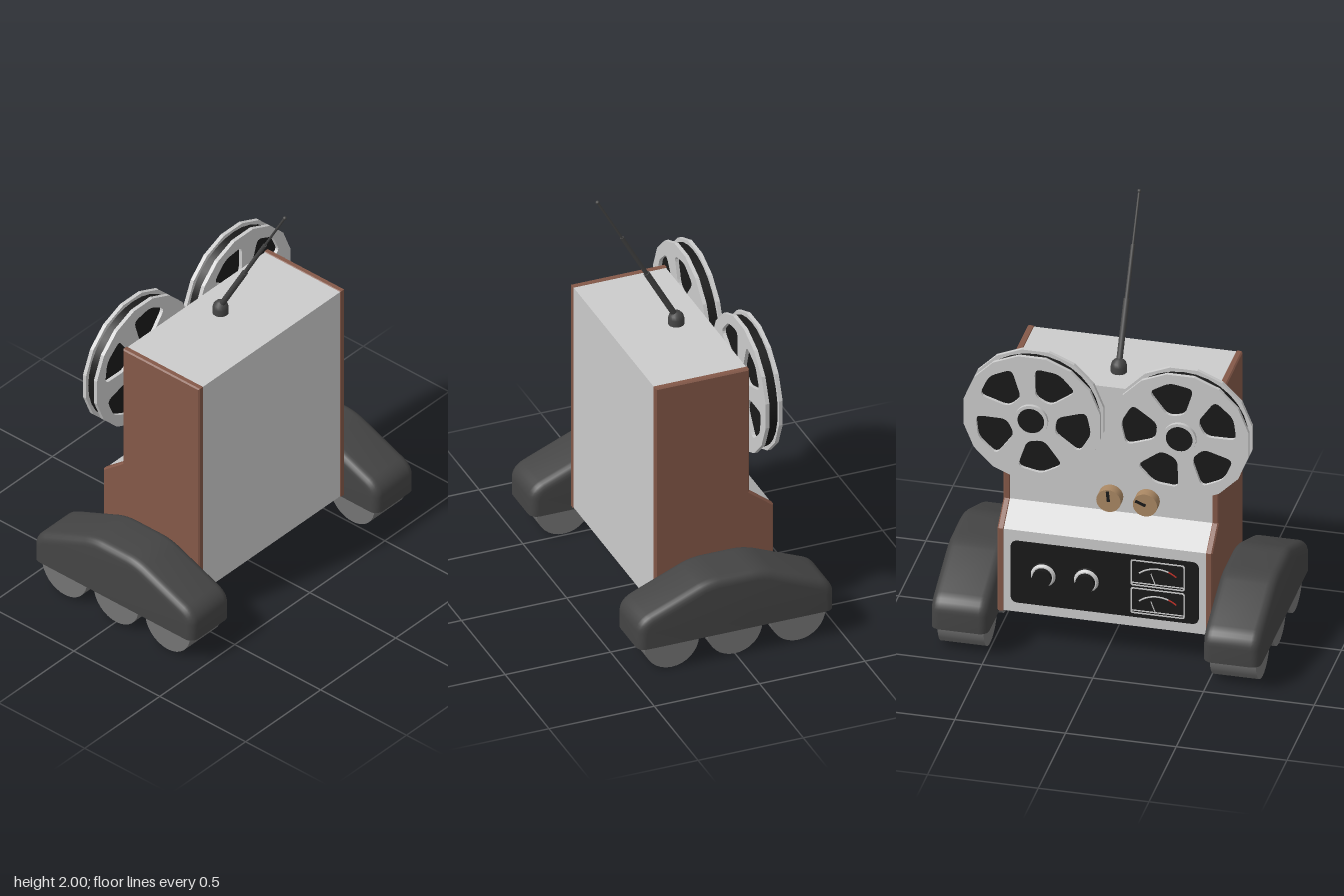
import * as THREE from 'three';
import { toCreasedNormals } from 'three/addons/utils/BufferGeometryUtils.js';

const mat = (color) => new THREE.MeshStandardMaterial({ color });
const GREY = mat(0xcccccc), BROWN = mat(0x845848), DARK = mat(0x444444), BLACK = mat(0x1a1a1a);
const WHEEL = mat(0x747474), TAN = mat(0xa98763), WHITE = mat(0xe8e8e8), RED = mat(0xc03028);
const rad = THREE.MathUtils.degToRad;

function add(parent, name, geometry, material, x = 0, y = 0, z = 0) {
  const mesh = new THREE.Mesh(geometry, material);
  mesh.name = name;
  mesh.position.set(x, y, z);
  parent.add(mesh);
  return mesh;
}

// Closed outline whose corners are rounded by r
function roundedPoly(points, r) {
  const pts = points.map(([x, y]) => new THREE.Vector2(x, y));
  const shape = new THREE.Shape();
  pts.forEach((p, i) => {
    const toward = (q) => q.clone().sub(p).setLength(Math.min(r, q.distanceTo(p) / 2)).add(p);
    const a = toward(pts[(i + pts.length - 1) % pts.length]);
    const b = toward(pts[(i + 1) % pts.length]);
    if (i === 0) shape.moveTo(a.x, a.y); else shape.lineTo(a.x, a.y);
    shape.quadraticCurveTo(p.x, p.y, b.x, b.y);
  });
  shape.closePath();
  return shape;
}

const rect = (w, h) => [[-w / 2, -h / 2], [w / 2, -h / 2], [w / 2, h / 2], [-w / 2, h / 2]];

// Extrudes a (z, y) side outline along x, centred on x = 0
function sideExtrude(shape, width, bevel = 0, bevelSegments = 1) {
  const depth = width - 2 * bevel;
  const geo = new THREE.ExtrudeGeometry(shape, {
    depth, bevelEnabled: bevel > 0, bevelSize: bevel, bevelThickness: bevel, bevelSegments, curveSegments: 6,
  });
  return geo.translate(0, 0, -depth / 2).rotateY(-Math.PI / 2);
}

// Cylinder pointing along +z from z0 to z1
function zCylinder(r, z0, z1, sides = 28, rEnd = r) {
  return new THREE.CylinderGeometry(rEnd, r, z1 - z0, sides).rotateX(Math.PI / 2).translate(0, 0, (z0 + z1) / 2);
}

function bodyOutline(inset) {
  const i = inset;
  return new THREE.Shape([
    [0.28 - i, 0.155 + i], [0.28 - i, 1.285 - i], [-0.165 + i, 1.285 - i],
    [-0.165 + i, 0.66 - i / 2], [-0.28 + i, 0.57 - i / 2], [-0.28 + i, 0.155 + i],
  ].map(([z, y]) => new THREE.Vector2(z, y)));
}

function makeReel(phase) {
  const reel = new THREE.Group();
  reel.name = 'tapeReel';
  // Sixteen-sided flange with five rounded windows
  const rim = [];
  for (let i = 0; i < 16; i++) {
    const a = ((i + 0.5) / 16) * Math.PI * 2;
    rim.push(new THREE.Vector2(Math.cos(a) * 0.315, Math.sin(a) * 0.315));
  }
  const flange = new THREE.Shape(rim);
  for (let k = 0; k < 5; k++) {
    const corners = [[0.115, -20], [0.255, -24], [0.272, 0], [0.255, 24], [0.115, 20]].map(([r, d]) => {
      const a = rad(d + phase + k * 72);
      return [Math.cos(a) * r, Math.sin(a) * r];
    });
    flange.holes.push(roundedPoly(corners, 0.03));
  }
  const flangeGeo = new THREE.ExtrudeGeometry(flange, { depth: 0.018, bevelEnabled: false, curveSegments: 4 });
  add(reel, 'innerFlange', flangeGeo, GREY, 0, 0, 0.177);
  add(reel, 'outerFlange', flangeGeo, GREY, 0, 0, 0.24);
  add(reel, 'woundTape', zCylinder(0.295, 0.194, 0.241, 32), BLACK);
  add(reel, 'spindle', zCylinder(0.06, 0.16, 0.196), BLACK);
  add(reel, 'hubRing', zCylinder(0.075, 0.255, 0.274), GREY);
  add(reel, 'hubCap', zCylinder(0.06, 0.27, 0.276), BLACK);
  return reel;
}

function makeMeter() {
  const meter = new THREE.Group();
  meter.name = 'meter';
  const frame = roundedPoly(rect(0.245, 0.13), 0.012);
  frame.holes.push(roundedPoly(rect(0.233, 0.118), 0.01));
  add(meter, 'meterFrame', new THREE.ExtrudeGeometry(frame, { depth: 0.004, bevelEnabled: false }), WHITE);
  const arc = (name, from, to, material) => add(meter, name,
    new THREE.TorusGeometry(0.13, 0.004, 4, 12, rad(to - from)).rotateZ(rad(from)), material, 0, -0.1, 0.002);
  arc('scaleArc', 68, 130, WHITE);
  arc('redZone', 50, 68, RED);
  add(meter, 'needle', new THREE.BoxGeometry(0.004, 0.06, 0.004), WHITE, -0.02, -0.025, 0.002).rotation.z = 0.35;
  add(meter, 'meterSill', new THREE.BoxGeometry(0.235, 0.005, 0.004), WHITE, 0, -0.05, 0.002);
  return meter;
}

export function createModel() {
  const model = new THREE.Group();
  model.name = 'tapeRecorderRobot';

  // Cabinet with wooden side panels
  add(model, 'cabinet', sideExtrude(bodyOutline(0.003), 0.92), GREY);
  for (const s of [-1, 1]) {
    add(model, 'sidePanel', sideExtrude(bodyOutline(0.006), 0.032, 0.006), BROWN, s * 0.47);
  }

  // Wheel covers: bevelled sides and a flat underside
  const cover = roundedPoly([[-0.425, 0.13], [0.425, 0.13], [0.425, 0.236], [0.11, 0.367],
    [-0.11, 0.367], [-0.425, 0.236]], 0.05);
  // Square lower corners
  cover.curves = [];
  cover.moveTo(-0.425, 0.13).lineTo(0.425, 0.13).lineTo(0.425, 0.21);
  cover.quadraticCurveTo(0.425, 0.238, 0.39, 0.254).lineTo(0.16, 0.35);
  cover.quadraticCurveTo(0.115, 0.367, 0.07, 0.367).lineTo(-0.07, 0.367);
  cover.quadraticCurveTo(-0.115, 0.367, -0.16, 0.35).lineTo(-0.39, 0.254);
  cover.quadraticCurveTo(-0.425, 0.238, -0.425, 0.21).lineTo(-0.425, 0.13);
  let coverGeo = sideExtrude(cover, 0.258, 0.04, 5);
  const pos = coverGeo.attributes.position;
  for (let i = 0; i < pos.count; i++) pos.setY(i, Math.max(0.13, pos.getY(i)));
  coverGeo = toCreasedNormals(coverGeo, 0.6);
  const wheelGeo = new THREE.CylinderGeometry(0.13, 0.13, 0.208, 32).rotateZ(Math.PI / 2);
  for (const s of [-1, 1]) {
    add(model, 'wheelCover', coverGeo, DARK, s * 0.615);
    for (const z of [-0.3, 0, 0.3]) add(model, 'wheel', wheelGeo, WHEEL, s * 0.615, 0.13, z);
  }

  // Telescopic antenna leaning forward
  const foot = [[0.036, 0], [0.036, 0.03], [0.031, 0.047], [0.018, 0.06], [0, 0.064]];
  add(model, 'antennaFoot', new THREE.LatheGeometry(foot.map(([r, y]) => new THREE.Vector2(r, y)), 20),
    DARK, 0, 1.284, -0.02);
  const antenna = new THREE.Group();
  antenna.name = 'antenna';
  antenna.position.set(0, 1.32, -0.02);
  antenna.rotation.x = Math.atan2(0.375, 0.67);
  [[0.014, 0, 0.29], [0.0095, 0.29, 0.53], [0.0055, 0.53, 0.765]].forEach(([r, a, b]) =>
    add(antenna, 'antennaSection', new THREE.CylinderGeometry(r, r, b - a, 12), DARK, 0, (a + b) / 2, 0));
  add(antenna, 'antennaTip', new THREE.SphereGeometry(0.009, 12, 8), DARK, 0, 0.765, 0);
  model.add(antenna);

  // Rear side, built facing +z and turned around
  const rear = new THREE.Group();
  rear.name = 'rearControls';
  rear.rotation.y = Math.PI;
  model.add(rear);

  for (const [x, phase] of [[-0.335, 63], [0.335, 28]]) {
    const reel = makeReel(phase);
    reel.position.set(x, 1.128, 0);
    rear.add(reel);
  }

  // Small knobs under the reels, each with a pointer
  for (const [x, turn] of [[0, 0.1], [0.165, 1.2]]) {
    add(rear, 'selectorKnob', zCylinder(0.055, 0.16, 0.213), TAN, x, 0.735);
    const pointer = add(rear, 'knobPointer', new THREE.BoxGeometry(0.014, 0.05, 0.004).translate(0, 0.022, 0),
      BLACK, x, 0.735, 0.213);
    pointer.rotation.z = turn;
  }

  // Control plate with dials and two meters
  const plate = roundedPoly(rect(0.85, 0.31), 0.035);
  add(rear, 'controlPlate', new THREE.ExtrudeGeometry(plate, { depth: 0.008, bevelEnabled: false }),
    BLACK, 0, 0.362, 0.275);
  for (const x of [-0.275, -0.08]) {
    add(rear, 'dialSkirt', zCylinder(0.06, 0.28, 0.292, 28, 0.056), BLACK, x, 0.365);
    add(rear, 'dialRing', zCylinder(0.056, 0.292, 0.304, 28, 0.048), WHITE, x, 0.365);
    add(rear, 'dialGrip', zCylinder(0.043, 0.3, 0.328, 16), BLACK, x, 0.365);
  }
  for (const y of [0.432, 0.292]) {
    const meter = makeMeter();
    meter.position.set(0.24, y, 0.282);
    rear.add(meter);
  }
  return model;
}
